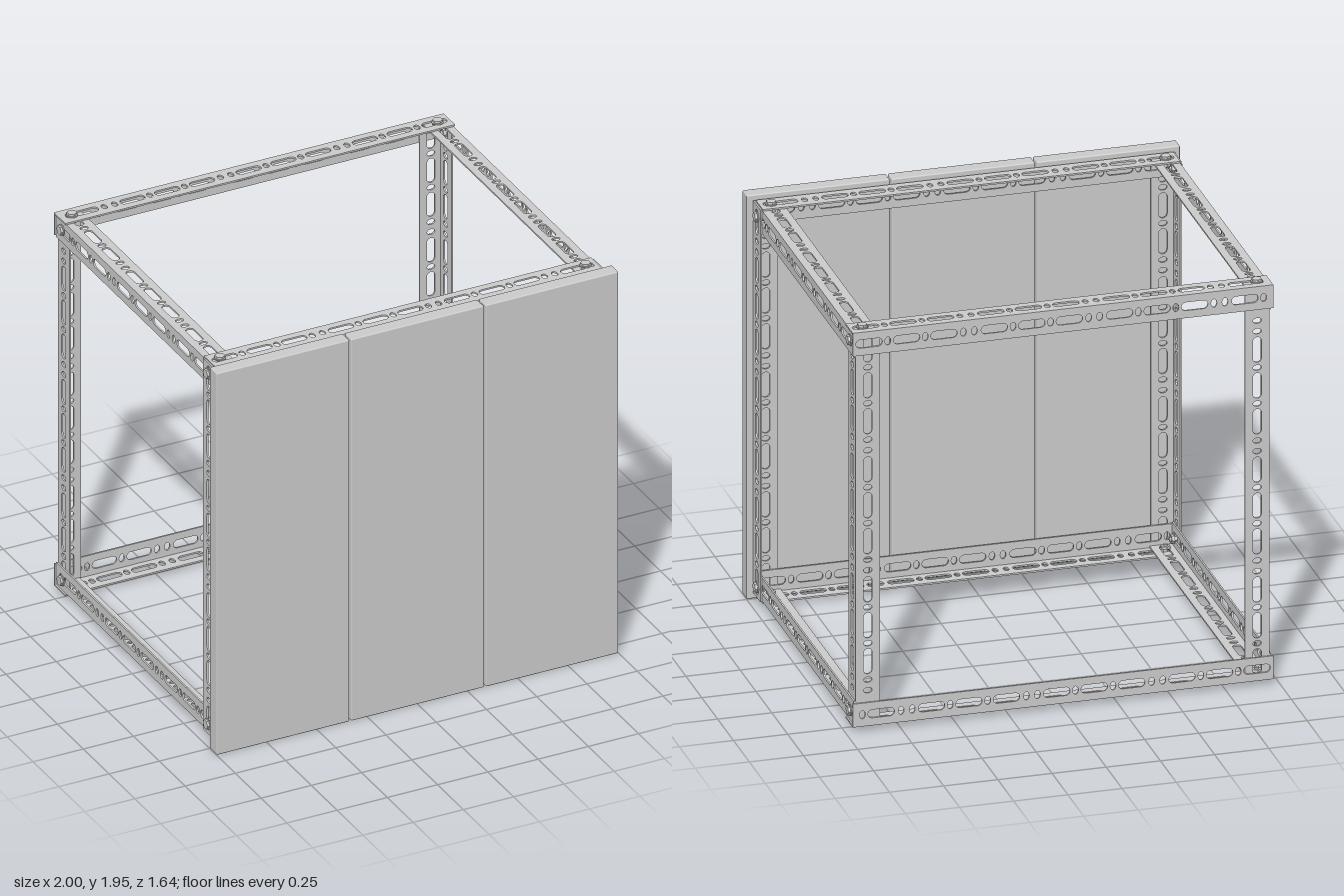
import * as THREE from 'three';
import { RoundedBoxGeometry } from 'three/addons/geometries/RoundedBoxGeometry.js';

const WIDTH = 0.112; // leg width of the angle profile
const T = 0.008; // sheet thickness
const metal = new THREE.MeshStandardMaterial({ color: 0xcccccc });

// Obround (or, when short, oval) hole centred at x, y
function slotHole(x, y, length, height) {
  const hole = new THREE.Path();
  const r = height / 2;
  if (length <= height) {
    hole.absellipse(x, y, length / 2, r, 0, Math.PI * 2, true);
  } else {
    const d = length / 2 - r;
    hole.absarc(x + d, y, r, Math.PI / 2, -Math.PI / 2, true);
    hole.absarc(x - d, y, r, -Math.PI / 2, -Math.PI * 1.5, true);
  }
  return hole;
}

// Perforated strip: three slots with ovals between, then a pair of ovals
function strip(length, from, to) {
  const h = length / 2;
  const shape = new THREE.Shape();
  shape.moveTo(-h, from).lineTo(h, from).lineTo(h, to).lineTo(-h, to).closePath();
  const add = (x, len) => {
    if (x - len / 2 > 0.008 && x + len / 2 < length - 0.008) {
      shape.holes.push(slotHole(x - h, WIDTH / 2, len, 0.04));
    }
  };
  for (let start = 0.075; start < length; start += 0.578) {
    for (let i = 0; i < 3; i++) add(start + i * 0.173, 0.122);
    for (const x of [0.0865, 0.2595, 0.435, 0.486]) add(start + x, 0.027);
  }
  return new THREE.ExtrudeGeometry(shape, { depth: T, bevelEnabled: false, curveSegments: 6 });
}

// L profile whose outer edge passes through corner, with legs along a and b
function angleBar(name, length, corner, a, b) {
  const bar = new THREE.Group();
  bar.name = name;
  const legA = new THREE.Mesh(strip(length, 0, WIDTH), metal);
  legA.name = name + 'LegA';
  const geoB = strip(length, T, WIDTH);
  geoB.rotateX(Math.PI / 2).translate(0, T, 0);
  const legB = new THREE.Mesh(geoB, metal);
  legB.name = name + 'LegB';
  bar.add(legA, legB);
  const va = new THREE.Vector3(...a), vb = new THREE.Vector3(...b);
  const along = new THREE.Vector3().crossVectors(va, vb);
  bar.quaternion.setFromRotationMatrix(new THREE.Matrix4().makeBasis(along, va, vb));
  bar.position.set(...corner);
  return bar;
}

// Hex bolt with washer, shank and inner nut, pointing along dir
function bolt(position, dir) {
  const g = new THREE.Group();
  g.name = 'bolt';
  const piece = (name, radius, height, y, sides) => {
    const geo = new THREE.CylinderGeometry(radius, radius, height, sides).toNonIndexed();
    if (sides === 6) geo.computeVertexNormals();
    const m = new THREE.Mesh(geo, metal);
    m.name = name;
    m.position.y = y;
    g.add(m);
  };
  piece('boltWasher', 0.027, 0.004, 0.002, 20);
  piece('boltHead', 0.023, 0.011, 0.0095, 6);
  piece('boltShank', 0.011, 0.045, -0.02, 12);
  piece('boltNut', 0.022, 0.014, -0.028, 6);
  g.quaternion.setFromUnitVectors(new THREE.Vector3(0, 1, 0), new THREE.Vector3(...dir));
  g.position.set(...position);
  return g;
}

export function createModel() {
  const model = new THREE.Group();
  model.name = 'slottedAngleFrame';

  // Three front panels with narrow gaps
  for (let i = -1; i <= 1; i++) {
    const panel = new THREE.Mesh(new RoundedBoxGeometry(0.661, 1.945, 0.068, 2, 0.006), metal);
    panel.name = 'frontPanel';
    panel.position.set(i * 0.6695, 0.9725, 0.786);
    model.add(panel);
  }

  const midY = 0.977;
  for (const s of [-1, 1]) {
    // Uprights: the front pair wraps outside the rails, the back pair sits inside
    model.add(angleBar('frontPost', 1.89, [s * 0.972, midY, 0.744], [0, 0, -1], [-s, 0, 0]));
    model.add(angleBar('backPost', 1.87, [s * 0.954, midY, -0.811], [0, 0, 1], [-s, 0, 0]));

    // Horizontal rails, s = 1 on top and -1 at the bottom
    const outerY = midY + s * 0.95;
    model.add(angleBar('frontRail', 1.926, [0, outerY, 0.735], [0, -s, 0], [0, 0, -1]));
    model.add(angleBar('backRail', 1.94, [0, outerY, -0.82], [0, -s, 0], [0, 0, 1]));
    for (const x of [-1, 1]) {
      const y = midY + s * 0.941;
      model.add(angleBar('sideRail', 1.536, [x * 0.963, y, -0.042], [0, -s, 0], [-x, 0, 0]));
    }
  }

  // Bolts on the sides and on the top and bottom of every corner
  for (const x of [-1, 1]) {
    for (const y of [-1, 1]) {
      for (const [z, face] of [[0.682, 0.972], [-0.755, 0.963]]) {
        model.add(bolt([x * face, midY + y * 0.893, z], [x, 0, 0]));
        model.add(bolt([x * 0.91, midY + y * 0.95, z < 0 ? -0.762 : 0.674], [0, y, 0]));
      }
    }
  }
  return model;
}
